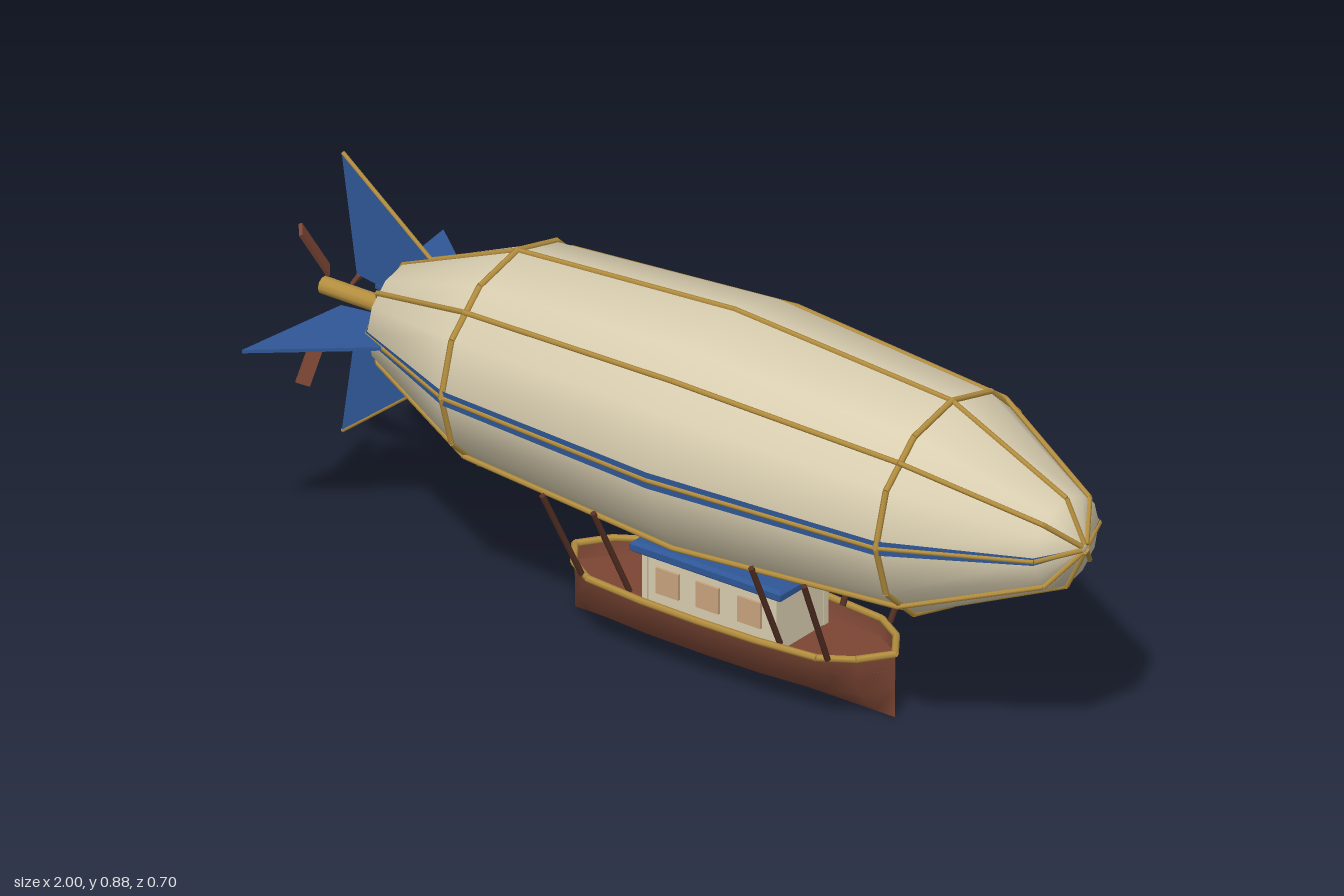
import * as THREE from 'three';

export function createModel() {
  const model = new THREE.Group();
  const paint = (name, color, side = THREE.FrontSide) => {
    const m = new THREE.MeshStandardMaterial({ color, side });
    m.name = name;
    return m;
  };
  const canvas = paint('canvas', 0xd9ceb0);
  const gold = paint('gold', 0xb58f3f);
  const blue = paint('blue', 0x2f5796, THREE.DoubleSide);
  const wood = paint('hullWood', 0x7c4634, THREE.DoubleSide);
  const darkWood = paint('darkWood', 0x553024);
  const tan = paint('windowTan', 0xc9a47e);

  const V = (x, y, z) => new THREE.Vector3(x, y, z);
  const add = (name, geometry, material, parent = model) => {
    const mesh = new THREE.Mesh(geometry, material);
    mesh.name = name;
    parent.add(mesh);
    return mesh;
  };
  const group = (name, parent = model) => {
    const g = new THREE.Group();
    g.name = name;
    parent.add(g);
    return g;
  };
  const box = (name, w, h, d, x, y, z, material, parent) => {
    const mesh = add(name, new THREE.BoxGeometry(w, h, d), material, parent);
    mesh.position.set(x, y, z);
    return mesh;
  };
  // Round bar between two points
  const rod = (name, a, b, r, material, parent) => {
    const dir = b.clone().sub(a);
    const mesh = add(name, new THREE.CylinderGeometry(r, r, dir.length(), 6), material, parent);
    mesh.position.copy(a).add(b).multiplyScalar(0.5);
    mesh.quaternion.setFromUnitVectors(V(0, 1, 0), dir.normalize());
  };
  const chain = (name, points, r, material, parent) => {
    for (let i = 1; i < points.length; i++) rod(name, points[i - 1], points[i], r, material, parent);
  };
  // Sheet through rows of points
  const sheet = (rows) => {
    const n = rows[0].length, index = [];
    for (let i = 0; i + 1 < rows.length; i++)
      for (let j = 0; j + 1 < n; j++) {
        const a = i * n + j;
        index.push(a, a + 1, a + n, a + 1, a + n + 1, a + n);
      }
    const g = new THREE.BufferGeometry().setFromPoints(rows.flat());
    g.setIndex(index);
    g.computeVertexNormals();
    return g;
  };

  // Envelope: twelve-sided lathe lying along x, slightly wider than tall
  const AXIS = 0.55, WIDE = 1.1;
  const profile = [[-0.83, 0.04], [-0.79, 0.115], [-0.49, 0.238], [0.08, 0.276],
    [0.65, 0.238], [0.95, 0.102], [0.997, 0.008]];
  const lathe = new THREE.LatheGeometry(
    [[-0.83, 0], ...profile, [0.997, 0]].map(([x, r]) => new THREE.Vector2(r, x)), 12);
  lathe.rotateZ(-Math.PI / 2);
  lathe.scale(1, 1, WIDE);
  add('envelope', lathe, canvas).position.y = AXIS;
  const onSkin = (x, r, angle) => V(x, AXIS + r * Math.cos(angle), r * Math.sin(angle) * WIDE);

  // Ropes running nose to tail, and two hoops
  const ropes = group('envelopeRopes');
  for (let i = 0; i < 8; i++)
    chain('longRope', profile.map(([x, r]) => onSkin(x, r + 0.001, i * Math.PI / 4)), 0.006, gold, ropes);
  for (const x of [-0.49, 0.65]) {
    const ring = [];
    for (let i = 0; i <= 12; i++) ring.push(onSkin(x, 0.24, i * Math.PI / 6));
    chain('hoop', ring, 0.007, gold, ropes);
  }

  // Side stripes, narrowing toward both ends
  for (const s of [-1, 1]) {
    const rows = profile.map(([x, r]) => [1, -1].map(
      (k) => V(x, AXIS + k * (0.003 + 0.057 * r), s * (r * WIDE + 0.003))));
    add('sideStripe', sheet(rows), blue);
  }

  // Four tail fins; the upright pair has gold leading edges
  const finShape = new THREE.Shape(
    [[-0.95, 0.328], [-0.71, 0.14], [-0.79, 0.035], [-0.91, 0.055]].map(([x, y]) => new THREE.Vector2(x, y)));
  for (let i = 0; i < 4; i++) {
    const fin = group('tailFin');
    const geometry = new THREE.ExtrudeGeometry(finShape, { depth: 0.008, bevelEnabled: false });
    geometry.translate(0, 0, -0.004);
    add('finPanel', geometry, blue, fin);
    if (i % 2 === 0) rod('finEdge', V(-0.95, 0.326, 0), V(-0.71, 0.14, 0), 0.005, gold, fin);
    else fin.scale.y = 1.06;
    fin.position.y = AXIS;
    fin.rotation.x = i * Math.PI / 2;
  }

  // Tail shaft and three-bladed propeller
  const shaft = add('tailShaft', new THREE.CylinderGeometry(0.02, 0.02, 0.2, 10), gold);
  shaft.rotation.z = Math.PI / 2;
  shaft.position.set(-0.9, AXIS, 0);
  const propeller = group('propeller');
  propeller.position.set(-0.972, AXIS, 0);
  for (let i = 0; i < 3; i++) {
    const arm = group('bladeArm', propeller);
    arm.rotation.x = -Math.PI / 2 + i * Math.PI * 2 / 3;
    const blade = box('blade', 0.008, 0.15, 0.032, 0, 0.137, 0, i ? wood : darkWood, arm);
    blade.material = wood;
    blade.rotation.set(0, 0.6, 0.09);
  }

  // Double-ended hull: each half is a sheet so keel and stems stay sharp
  const stations = [[-0.34, 0], [-0.29, 0.07], [-0.22, 0.113], [-0.07, 0.127], [0.08, 0.13],
    [0.23, 0.127], [0.38, 0.113], [0.45, 0.07], [0.5, 0]];
  const hull = group('hull');
  for (const s of [-1, 1]) {
    const rows = stations.map(([x, w]) => {
      const row = [V(x, 0.15, s * w), V(x, 0.065, s * w * 0.87), V(x, 0, 0)];
      return s > 0 ? row : row.reverse();
    });
    add('hullSide', sheet(rows), wood, hull);
    chain('gunwale', stations.map(([x, w]) => V(x, 0.148, s * w)), 0.008, gold, hull);
  }
  add('deck', sheet(stations.map(([x, w]) => [V(x, 0.11, -w * 0.93), V(x, 0.11, w * 0.93)])), wood, hull);

  // Cabin with windows and a chamfered roof
  const cabin = group('cabin');
  box('cabinWalls', 0.35, 0.13, 0.17, 0.08, 0.172, 0, canvas, cabin);
  for (const s of [-1, 1]) {
    for (const x of [-0.03, 0.075, 0.185])
      box('window', 0.06, 0.06, 0.008, x, 0.185, s * 0.087, tan, cabin);
    for (const x of [-0.09, 0.25])
      box('cornerPost', 0.014, 0.13, 0.014, x, 0.172, s * 0.082, canvas, cabin);
  }
  const roofShape = new THREE.Shape();
  roofShape.moveTo(-0.19, -0.095).lineTo(0.19, -0.095).lineTo(0.19, 0.095).lineTo(-0.19, 0.095);
  const roof = new THREE.ExtrudeGeometry(roofShape,
    { depth: 0.014, bevelThickness: 0.007, bevelSize: 0.009, bevelSegments: 1 });
  roof.rotateX(-Math.PI / 2);
  add('roof', roof, blue, cabin).position.set(0.08, 0.244, 0);

  // Struts from the gunwale up to the envelope
  const struts = group('struts');
  for (const s of [-1, 1])
    for (const [low, high] of [[-0.24, -0.262], [-0.115, -0.128], [0.28, 0.287], [0.405, 0.425]])
      rod('strut', V(low, 0.15, s * 0.108), V(high, 0.372, s * 0.216), 0.007, darkWood, struts);

  return model;
}
